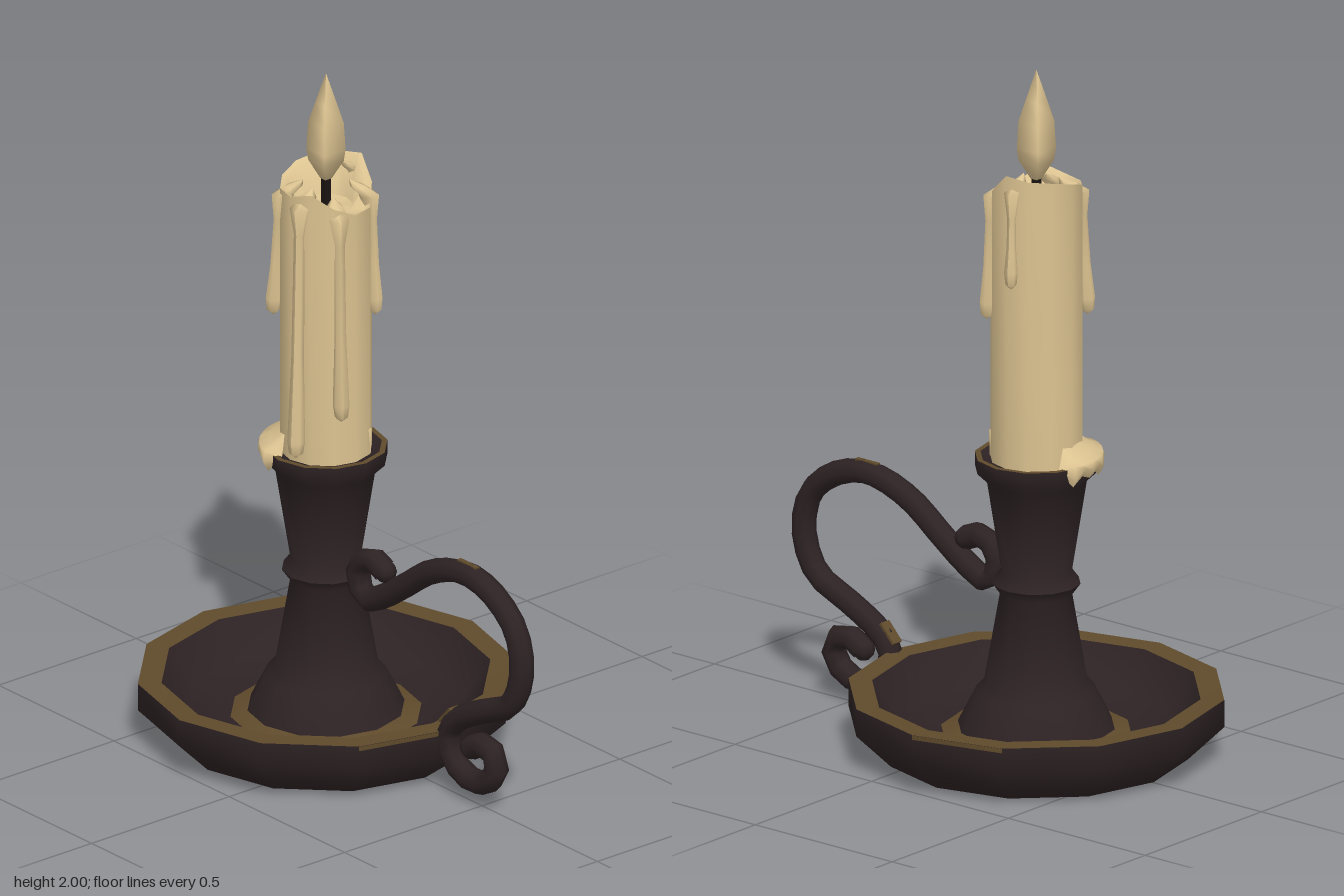
import * as THREE from 'three';
import { toCreasedNormals } from 'three/addons/utils/BufferGeometryUtils.js';

const material = (name, color) => {
  const m = new THREE.MeshStandardMaterial({ color });
  m.name = name;
  return m;
};
const rad = THREE.MathUtils.degToRad;

export function createModel() {
  const iron = material('dark iron', 0x2d2224);
  const brass = material('worn brass', 0x5f4a2b);
  const wax = material('wax', 0xdcc391);
  const char = material('charred wick', 0x1a1412);

  const root = new THREE.Group();
  root.name = 'candleHolder';
  const axis = new THREE.Group(); // everything turned about the candle's axis
  axis.name = 'turnedParts';
  axis.position.z = -0.177;
  root.add(axis);

  const add = (parent, name, geometry, mat) => {
    const mesh = new THREE.Mesh(geometry, mat);
    mesh.name = name;
    parent.add(mesh);
    return mesh;
  };
  const lathe = (points, sides = 12, start = 0, sweep = 360) => new THREE.LatheGeometry(
    points.map(([r, y]) => new THREE.Vector2(r, y)), sides, rad(start), rad(sweep));
  const turned = (name, points, mat) => add(axis, name, toCreasedNormals(lathe(points), 1.1), mat);

  // Dish: outer wall, worn rim, inner bowl and worn ring around the foot
  turned('dishOuter', [[0, 0], [0.43, 0], [0.532, 0.1], [0.532, 0.18]], iron);
  turned('dishRim', [[0.532, 0.18], [0.465, 0.178]], brass);
  turned('dishInner', [[0.465, 0.178], [0.39, 0.075], [0.27, 0.06]], iron);
  turned('footRing', [[0.27, 0.06], [0.222, 0.075]], brass);

  // Worn edge strips on the dish wall
  for (const start of [330, 90]) {
    add(axis, 'wornEdge', lathe([[0.534, 0.167], [0.534, 0.18]], 1, start, 30), brass);
  }

  // Stem with flared foot, middle bead and socket
  turned('stem', [
    [0.222, 0.075], [0.21, 0.1], [0.17, 0.18], [0.147, 0.205], [0.102, 0.465], [0.125, 0.497],
    [0.1, 0.53], [0.143, 0.8], [0.174, 0.83], [0.174, 0.87],
  ], iron);
  turned('socketRim', [[0.174, 0.87], [0.158, 0.87]], brass);
  turned('socketInner', [[0.158, 0.87], [0.12, 0.855]], iron);

  // Worn patch under the dish
  const patch = new THREE.Shape([
    [-0.18, 0.02], [-0.12, -0.05], [0, -0.03], [0.1, -0.05], [0.18, 0], [0.08, 0.04], [-0.06, 0.03], [-0.12, 0.05],
  ].map(([x, y]) => new THREE.Vector2(x, y)));
  const worn = add(axis, 'wornPatch', new THREE.ShapeGeometry(patch), brass);
  worn.rotation.x = Math.PI / 2;
  worn.position.set(-0.1, -0.002, 0.1);

  // Candle: the upper rows follow an uneven melted edge
  const edge = [1.61, 1.61, 1.66, 1.72, 1.71, 1.705, 1.69, 1.67, 1.66, 1.66, 1.68, 1.64];
  const body = lathe([[0.13, 0.84], [0.13, 1.3], [0.13, 2], [0.112, 1.99], [0.075, 1.6], [0, 1.59]]);
  const pos = body.attributes.position;
  for (let i = 0; i < pos.count; i++) {
    const y = pos.getY(i);
    if (y > 1.9) pos.setY(i, edge[Math.floor(i / 6) % 12] + y - 2);
  }
  add(axis, 'candle', toCreasedNormals(body, 0.9), wax);

  // Drips: teardrops with a leaf-like top folded over the edge, swelling outwards at the bottom
  const drip = (degrees, top, bottom, reach, width) => {
    const len = top - bottom;
    const g = lathe([
      [0, bottom], [width * 0.8, bottom + 0.015], [width, bottom + 0.05], [width * 0.7, bottom + len * 0.4],
      [width * 0.65, top - 0.1], [width * 1.3, top - 0.025], [width, top], [0, top + 0.02],
    ], 6);
    const p = g.attributes.position;
    for (let i = 0; i < p.count; i++) {
      const t = (p.getY(i) - bottom) / len;
      const lip = Math.max(0, p.getY(i) - top + 0.03);
      p.setZ(i, p.getZ(i) + THREE.MathUtils.lerp(reach, 0.125, t) - lip * 1.2);
    }
    g.computeVertexNormals();
    add(axis, 'waxDrip', g, wax).rotation.y = rad(degrees);
  };
  drip(-23, 1.63, 1.0, 0.147, 0.024);
  drip(45, 1.66, 1.27, 0.138, 0.022);
  drip(98, 1.695, 1.39, 0.132, 0.02);
  drip(234, 1.66, 1.27, 0.147, 0.024);
  drip(285, 1.655, 0.88, 0.146, 0.025);
  drip(32, 0.96, 0.9, 0.124, 0.012);

  // Wax pooled over the back of the socket, its lower edge uneven and its ends thinning out
  const pool = lathe([[0.176, 0.82], [0.19, 0.845], [0.186, 0.882], [0.155, 0.892], [0.126, 0.92]], 10, 155, 110);
  const pp = pool.attributes.position;
  for (let i = 0; i < pp.count; i++) {
    const column = Math.floor(i / 5);
    if (column === 0 || column === 10) {
      const k = 0.15 / Math.hypot(pp.getX(i), pp.getZ(i));
      pp.setXYZ(i, pp.getX(i) * k, 0.862, pp.getZ(i) * k);
    } else if (i % 5 < 2) {
      pp.setY(i, pp.getY(i) + [0.02, 0, 0.025, 0.012][column % 4]);
    }
  }
  pool.computeVertexNormals();
  add(axis, 'waxPool', pool, wax);

  // Wick and four-sided flame
  add(axis, 'wick', new THREE.BoxGeometry(0.02, 0.12, 0.02), char).position.y = 1.63;
  const flame = lathe([[0, 1.672], [0.016, 1.68], [0.05, 1.735], [0.055, 1.77], [0.05, 1.85], [0.03, 1.91], [0, 2]], 4);
  add(axis, 'flame', flame, wax).rotation.y = Math.PI / 4;

  // Handle: one bent rod with a curl at each end, given as [z, y]
  const path = [
    [0.08, 0.57], [0.02, 0.59], [-0.03, 0.555], [-0.035, 0.5], [0, 0.46], [0.066, 0.487], [0.167, 0.556],
    [0.278, 0.635], [0.394, 0.678], [0.479, 0.68], [0.574, 0.645], [0.648, 0.577], [0.673, 0.466],
    [0.627, 0.35], [0.51, 0.29], [0.405, 0.233], [0.357, 0.18], [0.368, 0.11], [0.431, 0.067],
    [0.505, 0.069], [0.56, 0.116], [0.555, 0.17], [0.5, 0.185], [0.455, 0.16],
  ].map(([z, y]) => new THREE.Vector3(0, y, z));
  const handle = new THREE.Group();
  handle.name = 'handle';
  root.add(handle);
  const curve = new THREE.CatmullRomCurve3(path);
  add(handle, 'handleRod', new THREE.TubeGeometry(curve, 40, 0.035, 8), iron);
  for (const end of [path[0], path[path.length - 1]]) {
    add(handle, 'handleTip', new THREE.SphereGeometry(0.033, 8, 6), iron).position.copy(end);
  }

  // Worn spots on the handle: where it meets the dish and along its crest
  const joint = add(handle, 'wornJoint', new THREE.BoxGeometry(0.036, 0.008, 0.07), brass);
  joint.position.set(0, 0.23, 0.356);
  joint.rotation.x = -0.83;
  add(handle, 'wornCrest', new THREE.BoxGeometry(0.014, 0.006, 0.08), brass).position.set(0, 0.714, 0.44);
  return root;
}
